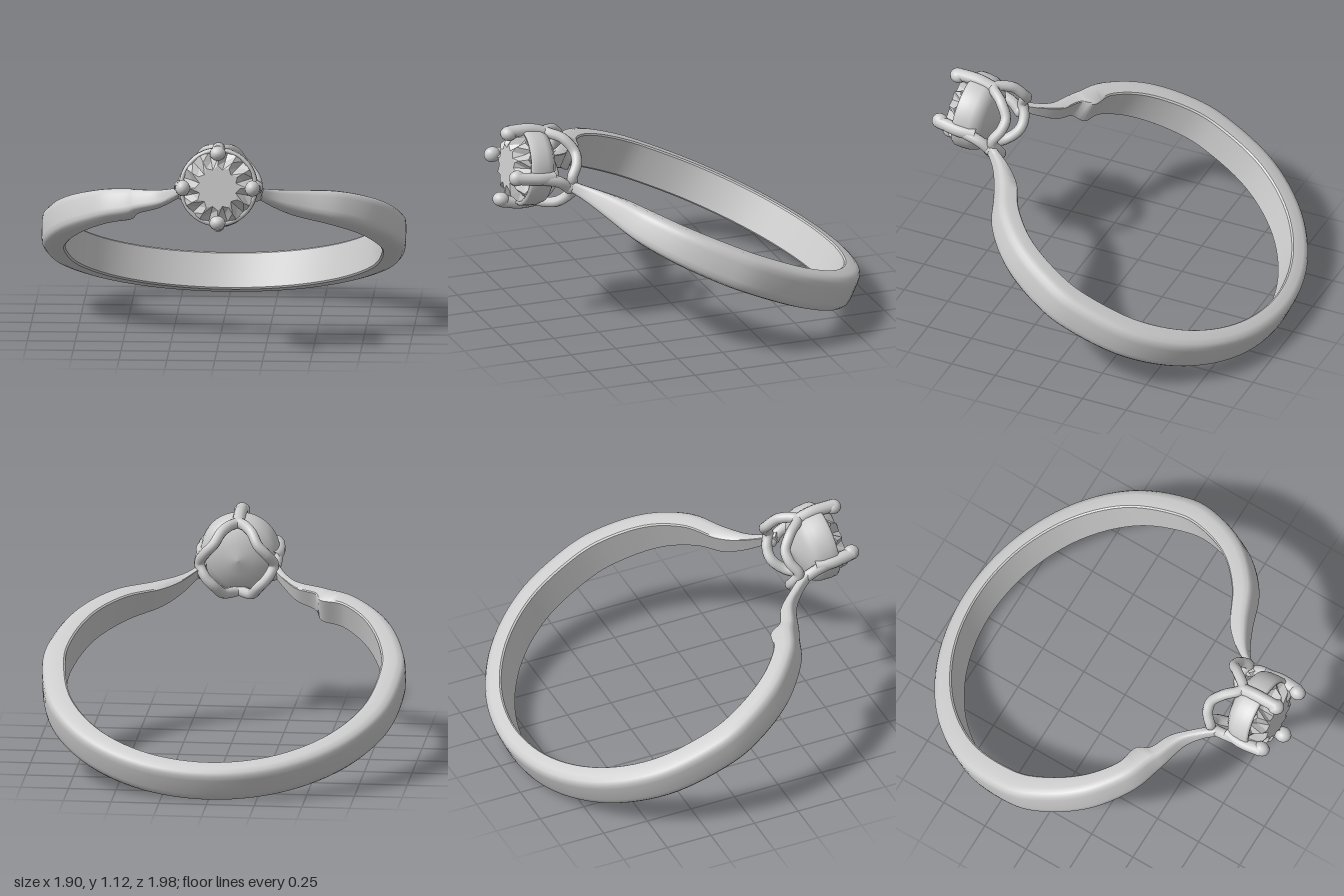
import * as THREE from 'three';
import { toCreasedNormals } from 'three/addons/utils/BufferGeometryUtils.js';

const V = (x, y, z) => new THREE.Vector3(x, y, z);
const metal = new THREE.MeshStandardMaterial({ color: 0xcccccc });
metal.name = 'pale silver';

function add(parent, name, geometry) {
  const m = new THREE.Mesh(geometry, metal);
  m.name = name;
  parent.add(m);
  return m;
}

// Builds a surface from flat positions and triangle indices
function surface(pos, index) {
  const g = new THREE.BufferGeometry();
  g.setAttribute('position', new THREE.Float32BufferAttribute(pos, 3));
  g.setIndex(index);
  return g;
}

// Band: stations hold [inner x, inner z, half width, outer x, outer z]
function bandGeometry() {
  const right = [
    [0.17, 0.9, 0.025, 0.2, 0.93], [0.22, 0.83, 0.03, 0.24, 0.86],
    [0.29, 0.73, 0.045, 0.31, 0.79], [0.39, 0.64, 0.065, 0.44, 0.715],
    [0.56, 0.55, 0.085, 0.64, 0.62], [0.71, 0.4, 0.095, 0.81, 0.45],
    [0.8, 0.2, 0.1, 0.915, 0.23],
  ];
  // the other shoulder has a small step on its inside
  const left = [
    [-0.8, 0.2, 0.1, -0.915, 0.23], [-0.71, 0.4, 0.095, -0.81, 0.45],
    [-0.58, 0.535, 0.085, -0.64, 0.62], [-0.46, 0.575, 0.075, -0.49, 0.69],
    [-0.42, 0.645, 0.06, -0.44, 0.715], [-0.315, 0.7, 0.045, -0.32, 0.765],
    [-0.225, 0.81, 0.03, -0.25, 0.84], [-0.17, 0.9, 0.025, -0.2, 0.93],
  ];
  const back = [];
  for (let i = 0; i <= 8; i++) {
    const a = (i / 8) * Math.PI, c = Math.cos(a), s = -Math.sin(a);
    back.push([0.825 * c, 0.787 * s, 0.1, 0.95 * c, 0.885 * s]);
  }
  const stations = [...right, ...back, ...left];
  const inner = new THREE.CatmullRomCurve3(stations.map(s => V(s[0], s[1], s[2])), false, 'catmullrom', 0.5);
  const outer = new THREE.CatmullRomCurve3(stations.map(s => V(s[3], s[4], 0)), false, 'catmullrom', 0.5);
  // cross-section: across from inside to outside, then up
  const section = [
    [0, -0.92], [0, 0.92], [0.07, 1], [0.6, 1], [0.85, 0.9], [0.97, 0.72], [1, 0.45],
    [1, -0.45], [0.97, -0.72], [0.85, -0.9], [0.6, -1], [0.07, -1],
  ];
  const n = 140, m = section.length, pos = [], index = [];
  for (let i = 0; i <= n; i++) {
    const p = inner.getPoint(i / n), q = outer.getPoint(i / n);
    for (const [a, b] of section) {
      pos.push(p.x + (q.x - p.x) * a, b * p.z, p.y + (q.y - p.y) * a);
    }
  }
  for (let i = 0; i < n; i++) {
    for (let j = 0; j < m; j++) {
      const a = i * m + j, b = i * m + (j + 1) % m;
      index.push(a, b, a + m, b, b + m, a + m);
    }
  }
  for (let j = 1; j < m - 1; j++) {
    index.push(0, j + 1, j, n * m, n * m + j, n * m + j + 1);
  }
  return toCreasedNormals(surface(pos, index), 0.7);
}

// Stone crown: star-shaped table with toothed facets around it
function stoneGeometry() {
  const n = 24, rings = [], pos = [], index = [];
  for (let k = 0; k < n; k++) {
    const a = (k / n) * Math.PI * 2, odd = k % 2;
    const at = (r, z) => [r * Math.cos(a), r * Math.sin(a), z];
    rings.push([at(0.19, odd ? 0.045 : 0.075), at(odd ? 0.14 : 0.155, odd ? 0.07 : 0.115),
      at(odd ? 0.098 : 0.118, 0.125)]);
  }
  rings.forEach(r => r.forEach(p => pos.push(...p)));
  pos.push(0, 0, 0.125);
  for (let k = 0; k < n; k++) {
    const a = k * 3, b = ((k + 1) % n) * 3;
    for (let r = 0; r < 2; r++) index.push(a + r, b + r, b + r + 1, a + r, b + r + 1, a + r + 1);
    index.push(a + 2, b + 2, n * 3);
  }
  const g = surface(pos, index).toNonIndexed();
  g.computeVertexNormals();
  return g;
}

function tube(points, radius, closed = false, segments = 24) {
  return new THREE.TubeGeometry(new THREE.CatmullRomCurve3(points, closed), segments, radius, 10, closed);
}

export function createModel() {
  const model = new THREE.Group();
  model.name = 'ring';

  const band = add(model, 'band', bandGeometry());
  band.position.set(0, 0.475, -0.15);
  band.rotation.x = -0.44;

  const head = new THREE.Group();
  head.name = 'stoneSetting';
  head.position.set(0.012, 0.91, 0.8);
  head.rotation.x = -0.12;
  model.add(head);

  // Rounded cup, closed at the back
  const profile = [[0, -0.13], [0.08, -0.115], [0.15, -0.09], [0.19, -0.065], [0.203, -0.03],
    [0.207, 0.02], [0.206, 0.05], [0.198, 0.062], [0.185, 0.06], [0.18, 0.02]];
  const cup = new THREE.LatheGeometry(profile.map(p => new THREE.Vector2(...p)), 48);
  cup.rotateX(Math.PI / 2);
  add(head, 'cup', cup);
  add(head, 'stone', stoneGeometry());

  // Four prongs gripping the stone
  for (let i = 0; i < 4; i++) {
    const prong = new THREE.Group();
    prong.name = 'prong';
    prong.rotation.z = (i * Math.PI) / 2;
    head.add(prong);
    add(prong, 'prongStem', tube([V(0, 0.185, -0.07), V(0, 0.2, 0.02), V(0, 0.19, 0.14)], 0.034));
    const tip = add(prong, 'prongTip', new THREE.SphereGeometry(0.04, 16, 12));
    tip.position.set(0, 0.182, 0.135);
    tip.scale.set(1.05, 0.95, 1.1);
  }

  // Wavy gallery wire behind the cup: [angle from top, radius, z]
  const wave = [];
  for (let i = 0; i < 16; i++) {
    const a = (i / 16) * Math.PI * 2;
    const r = [0.19, 0.19, 0.165, 0.175, 0.195][Math.min(i % 8, 8 - (i % 8))];
    const z = [-0.07, -0.145, -0.2, -0.2, -0.17][Math.min(i % 8, 8 - (i % 8))];
    wave.push(V(r * Math.sin(a), r * Math.cos(a), z));
  }
  add(head, 'galleryWire', tube(wave, 0.028, true, 96));

  // Side arms joining the shoulders to the cup
  for (const s of [-1, 1]) {
    add(head, 'sideArm', tube([V(s * 0.185, -0.065, -0.17), V(s * 0.2, -0.02, -0.1),
      V(s * 0.195, 0, 0.04)], 0.03));
    const joint = add(head, 'shoulderJoint', new THREE.SphereGeometry(0.034, 16, 12));
    joint.position.set(s * 0.188, -0.055, -0.165);
  }
  return model;
}
